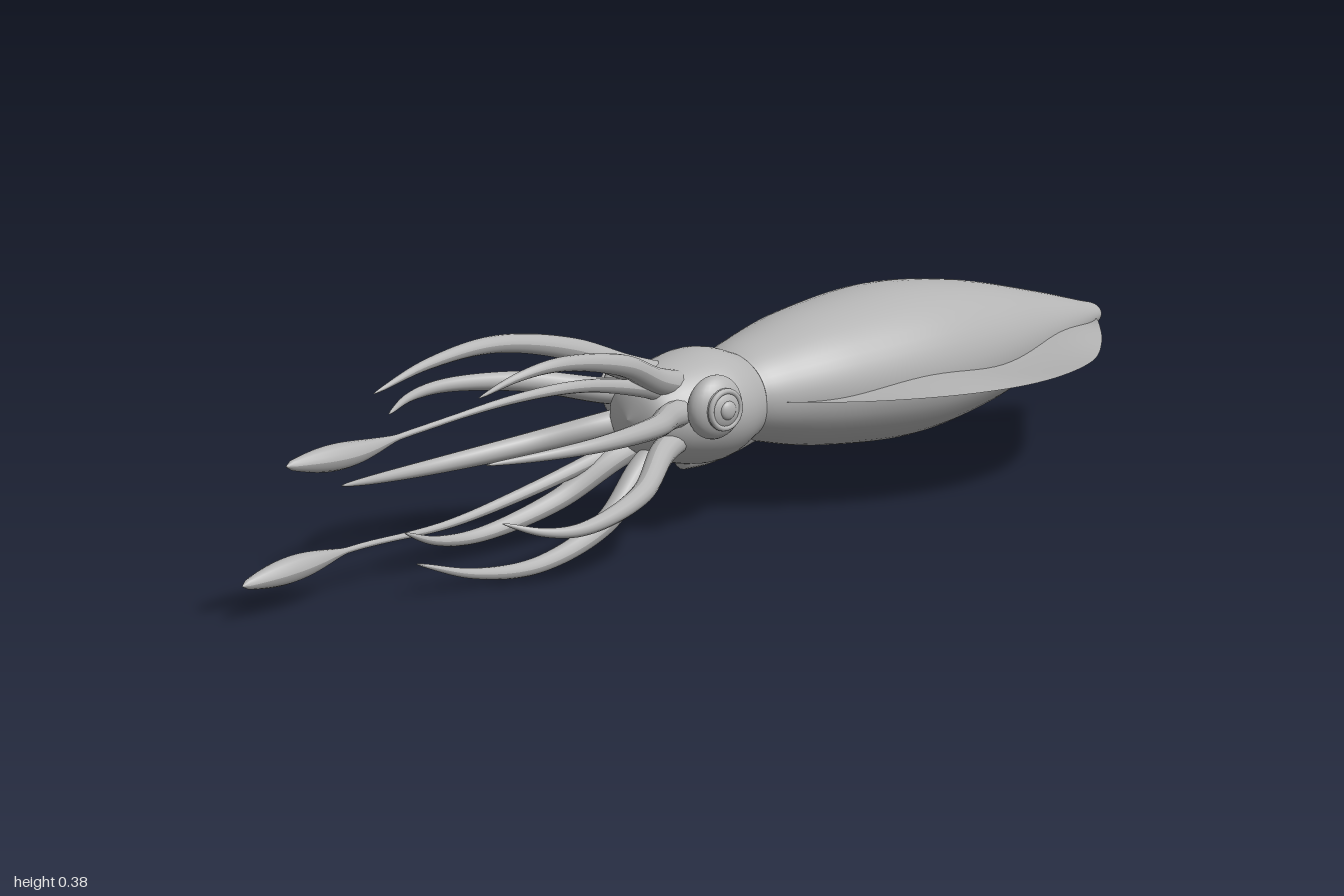
import * as THREE from 'three';

const CY = 0.208; // height of the body axis
const skin = new THREE.MeshStandardMaterial({ color: 0xb4b4b4 });
skin.name = 'greySkin';
const finSkin = new THREE.MeshStandardMaterial({ color: 0xb4b4b4, side: THREE.DoubleSide });
finSkin.name = 'greyFinSkin';

function add(parent, name, geometry, material = skin) {
  const mesh = new THREE.Mesh(geometry, material);
  mesh.name = name;
  parent.add(mesh);
  return mesh;
}

// Smooth curve through [a, b] pairs, sampled as 2D points
function smooth(pairs, n) {
  const pts = new THREE.SplineCurve(pairs.map(p => new THREE.Vector2(...p))).getPoints(n);
  pts.forEach(p => { p.x = Math.max(p.x, 0); });
  return pts;
}

// Solid of revolution along z from [radius, z] pairs
function bodyOfZ(pairs, squash, n = 48) {
  return new THREE.LatheGeometry(smooth(pairs, n), 48).rotateX(Math.PI / 2).scale(1, squash, 1);
}

// Tube whose radius follows a rule along its length
function taperedTube(points, radiusAt, segs = 48, sides = 14) {
  const path = new THREE.CatmullRomCurve3(points);
  const geo = new THREE.TubeGeometry(path, segs, 1, sides);
  const pos = geo.attributes.position, v = new THREE.Vector3();
  for (let i = 0; i <= segs; i++) {
    const c = path.getPointAt(i / segs), r = radiusAt(i / segs);
    for (let j = 0; j <= sides; j++) {
      const k = i * (sides + 1) + j;
      v.fromBufferAttribute(pos, k).sub(c).multiplyScalar(r).add(c);
      pos.setXYZ(k, v.x, v.y, v.z);
    }
  }
  geo.computeVertexNormals();
  return geo;
}

// Thin gently waved fin sheet, from the body axis out to a rounded edge
function finGeometry(side) {
  const edge = smooth([[0.02, -0.965], [0.06, -0.93], [0.18, -0.79], [0.275, -0.64], [0.314, -0.46],
    [0.285, -0.29], [0.2, -0.13], [0.09, -0.02]], 48);
  const cols = 8, pos = [], index = [];
  edge.forEach((p, i) => {
    for (let j = 0; j <= cols; j++) {
      const s = j / cols;
      const wave = 0.008 * Math.sin(Math.PI * s) * Math.sin(p.y * 14);
      pos.push(side * p.x * s, CY + wave, p.y);
      if (i && j) {
        const d = i * (cols + 1) + j, c = d - 1, b = d - cols - 1, a = b - 1;
        if (side > 0) index.push(a, c, b, b, c, d);
        else index.push(a, b, c, b, d, c);
      }
    }
  });
  const geo = new THREE.BufferGeometry();
  geo.setAttribute('position', new THREE.Float32BufferAttribute(pos, 3));
  geo.setIndex(index);
  geo.computeVertexNormals();
  return geo;
}

export function createModel() {
  const squid = new THREE.Group();
  squid.name = 'squid';

  // Mantle with a rounded front lip
  const mantle = add(squid, 'mantle', bodyOfZ([[0, -1], [0.022, -0.985], [0.038, -0.94], [0.085, -0.8],
    [0.142, -0.6], [0.168, -0.4], [0.147, -0.2], [0.113, -0.07], [0.092, -0.015], [0.08, -0.012], [0, -0.012]], 0.81, 80));
  mantle.position.y = 0.21;

  // Head tapering to the arm crown
  const head = add(squid, 'head', bodyOfZ([[0.07, -0.06], [0.088, -0.015], [0.107, 0.035], [0.111, 0.08],
    [0.1, 0.135], [0.083, 0.18], [0.055, 0.215], [0, 0.23]], 0.88));
  head.position.y = 0.204;

  // Funnel beneath the head
  add(squid, 'funnel', taperedTube([[0, 0.15, -0.05], [0, 0.133, 0], [0, 0.122, 0.05], [0, 0.118, 0.11]]
    .map(p => new THREE.Vector3(...p)), t => t > 0.99 ? 0.001 : 0.034 - 0.014 * t, 24));

  for (const side of [1, -1]) {
    const label = side > 0 ? 'left' : 'right';
    add(squid, label + 'Fin', finGeometry(side), finSkin);

    // Eye: a dome, a raised ring and a pupil
    const eye = new THREE.Group();
    eye.name = label + 'Eye';
    eye.position.set(side * 0.104, 0.226, 0.13);
    eye.rotation.y = side * Math.PI / 2 - side * 0.1;
    add(eye, 'eyeball', new THREE.SphereGeometry(0.054, 28, 18).scale(1, 1, 0.55));
    add(eye, 'iris', new THREE.SphereGeometry(0.036, 24, 14).scale(1, 1, 0.5)).position.z = 0.019;
    add(eye, 'irisRing', new THREE.TorusGeometry(0.031, 0.005, 10, 32)).position.z = 0.028;
    add(eye, 'pupil', new THREE.SphereGeometry(0.016, 18, 12).scale(1, 1, 0.5)).position.z = 0.034;
    squid.add(eye);
  }

  // Eight arms: [widest x, widest y, tip z]
  const arms = [[-0.05, 0.376, 0.75], [0.108, 0.362, 0.63], [0.207, 0.238, 0.68], [0.164, 0.083, 0.62],
    [0.052, 0.0, 0.73], [-0.1, 0.025, 0.66], [-0.198, 0.135, 0.73], [-0.18, 0.282, 0.64]];
  arms.forEach(([x, y, tip], i) => {
    const dir = new THREE.Vector2(x, y - CY), reach = dir.length() - 0.014;
    dir.normalize();
    const at = (r, z) => new THREE.Vector3(dir.x * r, CY + dir.y * r, z);
    const path = [at(0.05, 0.12), at(0.082, 0.21), at(reach * 0.8, 0.32), at(reach, 0.48),
      at(reach * 0.94, 0.48 + (tip - 0.48) * 0.55), at(reach * 0.76, tip)];
    add(squid, 'arm' + (i + 1), taperedTube(path, t => 0.024 * (1 - t) ** 0.65 + 0.0008));
  });

  // Two long feeding tentacles ending in clubs
  const tentacles = [
    [[0.02, 0.235, 0.15], [0.045, 0.265, 0.24], [0.068, 0.298, 0.4], [0.067, 0.3, 0.55],
      [0.048, 0.277, 0.74], [0.047, 0.264, 0.86], [0.05, 0.266, 1]],
    [[-0.03, 0.17, 0.15], [-0.055, 0.135, 0.24], [-0.086, 0.09, 0.4], [-0.092, 0.068, 0.55],
      [-0.085, 0.069, 0.74], [-0.072, 0.066, 0.86], [-0.062, 0.058, 1]]];
  const tentacleRadius = t => {
    const stalk = 0.016 - 0.011 * Math.min(t / 0.6, 1);
    const u = Math.max(0, (t - 0.74) / 0.26); // position along the club
    const club = 0.016 * Math.sin(Math.PI * Math.min(u, 1) ** 1.15);
    return t > 0.999 ? 0.0005 : stalk + club;
  };
  tentacles.forEach((pts, i) => {
    add(squid, 'tentacle' + (i + 1), taperedTube(pts.map(p => new THREE.Vector3(...p)), tentacleRadius, 72));
  });

  return squid;
}
